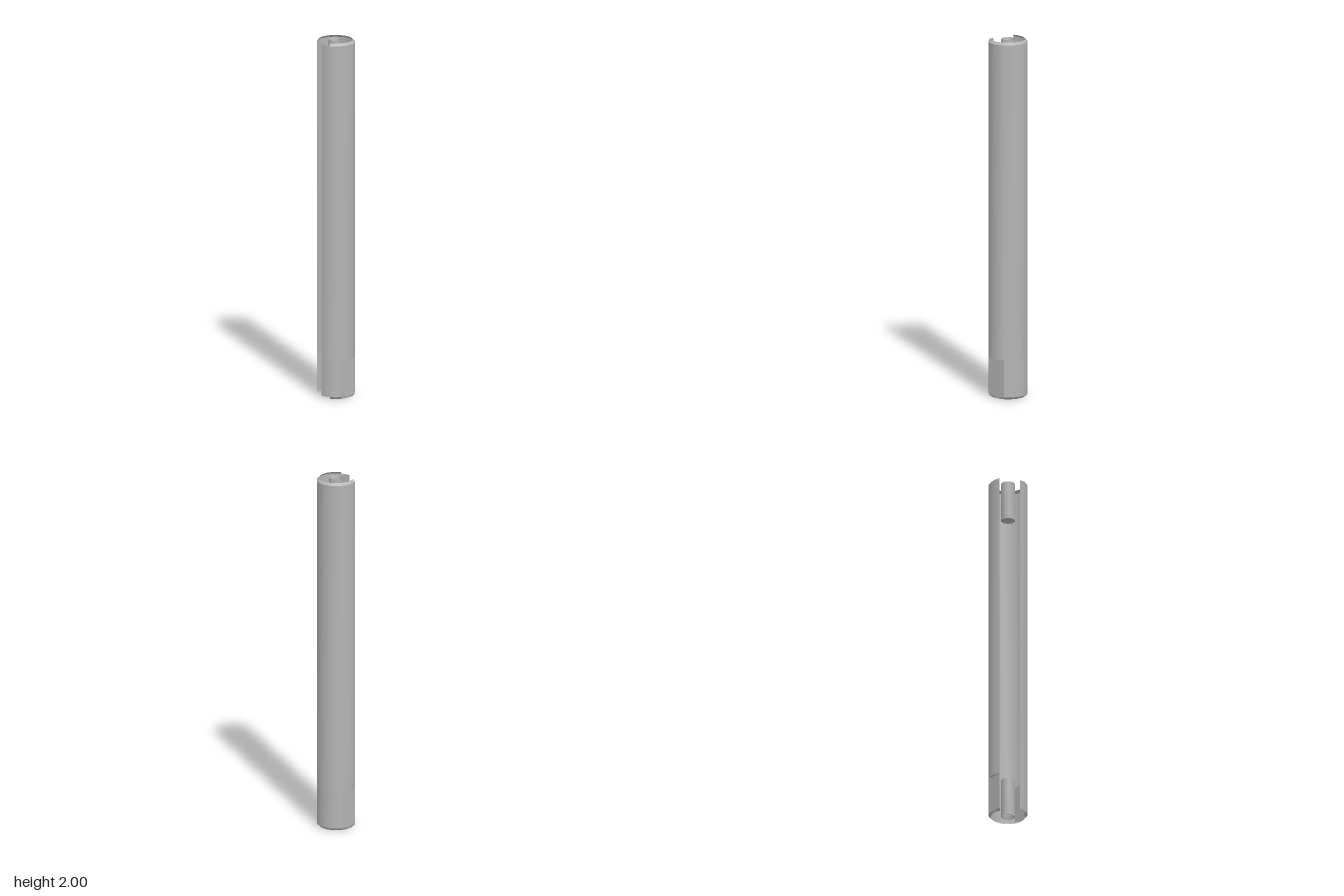
import * as THREE from 'three';
import { toCreasedNormals } from 'three/addons/utils/BufferGeometryUtils.js';

const R = 0.107, RIM = 0.094, BEVEL = 0.013, STEP = 0.22;
const FLAT_RIGHT = -R * Math.cos(THREE.MathUtils.degToRad(26));
const FLAT_LEFT = R * Math.cos(THREE.MathUtils.degToRad(31));

// Angles run from +x towards +z; the gap in the shell lies between 90 and 154 degrees.
const ANGLES = [154, 167, 180, 193, 206, 222, 238, 254, 270, 287, 304, 329,
  344.5, 360, 375.5, 391, 406, 422, 436, 450];

function onRing(deg, r, y) {
  const a = THREE.MathUtils.degToRad(deg);
  return [r * Math.cos(a), y, r * Math.sin(a)];
}

// The lower end has a flat milled on each side.
function onMilled(deg, r, y) {
  const p = onRing(deg, r, y);
  p[0] = THREE.MathUtils.clamp(p[0], FLAT_RIGHT, FLAT_LEFT);
  return p;
}

// Surface between two edges, following the angles from one end to the other.
function strip(from, to, lower, upper) {
  const pos = [], index = [];
  ANGLES.filter((a) => a >= from && a <= to).forEach((a, i) => {
    pos.push(...lower(a), ...upper(a));
    if (i > 0) {
      const k = 2 * (i - 1);
      index.push(k, k + 1, k + 2, k + 1, k + 3, k + 2);
    }
  });
  const g = new THREE.BufferGeometry();
  g.setAttribute('position', new THREE.Float32BufferAttribute(pos, 3));
  g.setIndex(index);
  g.computeVertexNormals();
  return g;
}

export function createModel() {
  const group = new THREE.Group();
  const steel = new THREE.MeshStandardMaterial({ color: 0xb4b4b4, side: THREE.DoubleSide });
  steel.name = 'steel grey';
  const add = (name, geometry) => {
    const mesh = new THREE.Mesh(geometry, steel);
    mesh.name = name;
    group.add(mesh);
    return mesh;
  };

  // Slotted tubular shell
  add('shell', strip(154, 450, (a) => onRing(a, R, STEP), (a) => onRing(a, R, 2 - BEVEL)));

  // Lower end, alternating flats and round walls
  [['rightFlat', 154, 206], ['backLowerWall', 206, 329],
    ['leftFlat', 329, 391], ['frontLowerWall', 391, 450]].forEach(([name, from, to]) => {
    add(name, strip(from, to, (a) => onMilled(a, R, BEVEL), (a) => onMilled(a, R, STEP)));
  });

  // Ledges above the flats
  [['rightLedge', 154, 206], ['leftLedge', 329, 391]].forEach(([name, from, to]) => {
    add(name, strip(from, to, (a) => onMilled(a, R, STEP), (a) => onRing(a, R, STEP)));
  });

  // Bevelled rims, stopping short of the slot's free edge
  add('topRim', strip(154, 422, (a) => onRing(a, R, 2 - BEVEL), (a) => onRing(a, RIM, 2)));
  add('bottomRim', strip(154, 422, (a) => onMilled(a, RIM, 0), (a) => onMilled(a, R, BEVEL)));

  // Central pins with a shallow recess in the outer end
  const profile = [[0, 1.78], [0.039, 1.78], [0.039, 2], [0.034, 1.985], [0.034, 1.97], [0, 1.97]]
    .map(([x, y]) => new THREE.Vector2(x, y));
  const pin = toCreasedNormals(new THREE.LatheGeometry(profile, 10), 0.8);
  add('topPin', pin);
  const bottomPin = add('bottomPin', pin);
  bottomPin.rotation.x = Math.PI;
  bottomPin.position.y = 2;

  return group;
}
